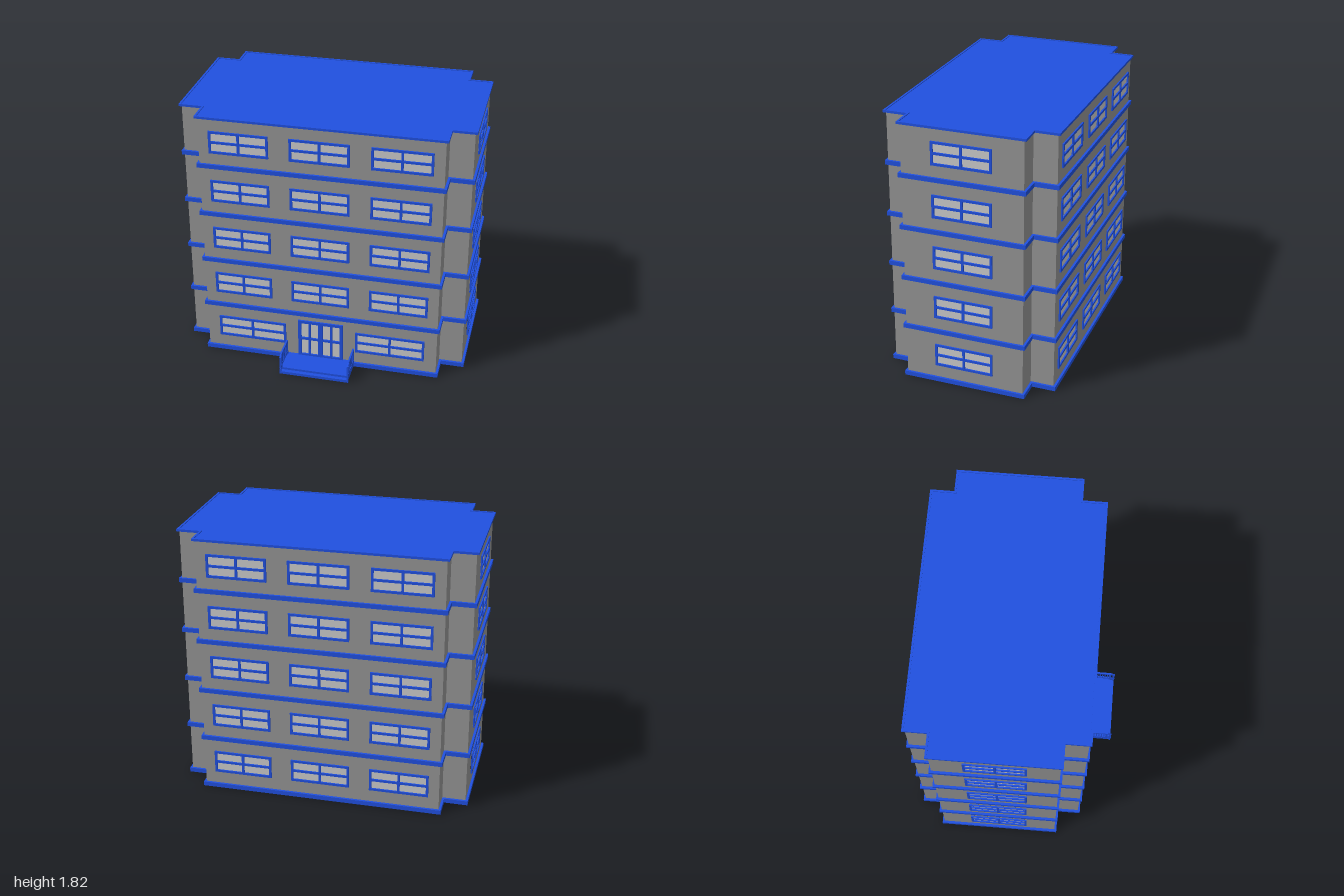
import * as THREE from 'three';

const wallMat = new THREE.MeshStandardMaterial({ color: 0x949494, side: THREE.DoubleSide });
const glassMat = new THREE.MeshStandardMaterial({ color: 0xcccccc, side: THREE.DoubleSide });
const trimMat = new THREE.MeshStandardMaterial({ color: 0x2050e0 });

const WALL_TOP = 1.812;

function add(parent, name, geometry, material, x = 0, y = 0, z = 0) {
  const mesh = new THREE.Mesh(geometry, material);
  mesh.name = name;
  mesh.position.set(x, y, z);
  parent.add(mesh);
  return mesh;
}

function rect(x0, y0, x1, y1, Type = THREE.Shape) {
  return new Type([[x0, y0], [x1, y0], [x1, y1], [x0, y1]].map(p => new THREE.Vector2(...p)));
}

// Cross-shaped floor plan, grown outward by d (shape y is -z)
function plan(d, Type = THREE.Shape) {
  const X = 0.98 + d, x = 0.82 + d;
  const F = -0.475 - d, f = -0.31 - d, B = 0.67 + d, b = 0.51 + d;
  const pts = [[-x, F], [x, F], [x, f], [X, f], [X, b], [x, b], [x, B], [-x, B], [-x, b], [-X, b], [-X, f], [-x, f]];
  return new Type(pts.map(p => new THREE.Vector2(...p)));
}

// Slab extruded upward from y0 to y1, optionally hollow
function slab(outer, inner, y0, y1) {
  const shape = plan(outer);
  if (inner !== null) shape.holes.push(plan(inner, THREE.Path));
  const g = new THREE.ExtrudeGeometry(shape, { depth: y1 - y0, bevelEnabled: false });
  return g.rotateX(-Math.PI / 2).translate(0, y0, 0);
}

// Frame cut by a grid of openings; xs and ys list [from, to] spans
function gridFrame(o, xs, ys, z0, z1) {
  const shape = rect(o.x0, o.y0, o.x1, o.y1);
  for (const [a, b] of xs) for (const [c, d] of ys) shape.holes.push(rect(a, c, b, d, THREE.Path));
  return new THREE.ExtrudeGeometry(shape, { depth: z1 - z0, bevelEnabled: false }).translate(0, 0, z0);
}

function addOpening(wall, o) {
  const group = new THREE.Group();
  group.name = o.door ? 'entranceDoor' : 'window';
  wall.add(group);
  const t = 0.016, m = 0.008, cx = (o.x0 + o.x1) / 2, cy = (o.y0 + o.y1) / 2;
  const glass = new THREE.PlaneGeometry(o.x1 - o.x0 - t, o.y1 - o.y0 - t);
  add(group, 'glass', glass, glassMat, cx, cy, 0.001);
  const xs = o.door
    ? [[-0.137, -0.085], [-0.07, -0.017], [0.017, 0.07], [0.085, 0.137]]
    : [[o.x0 + t, cx - m], [cx + m, o.x1 - t]];
  const ys = o.door ? [[0.05, 0.17], [0.187, 0.305]] : [[o.y0 + t, cy - m], [cy + m, o.y1 - t]];
  add(group, 'frame', gridFrame(o, xs, ys, o.door ? -0.012 : 0.002, 0.012), trimMat);
}

// Flat wall panel facing its local +z, with openings cut out
function addWall(parent, name, x, z, angle, width, openings = []) {
  const wall = new THREE.Group();
  wall.name = name;
  wall.position.set(x, 0, z);
  wall.rotation.y = angle;
  parent.add(wall);
  const shape = rect(-width / 2, 0, width / 2, WALL_TOP);
  const e = 0.008;
  for (const o of openings) {
    shape.holes.push(rect(o.x0 + e, o.y0 + e, o.x1 - e, o.y1 - e, THREE.Path));
    addOpening(wall, o);
  }
  add(wall, 'wallPanel', new THREE.ShapeGeometry(shape), wallMat);
}

const row = (centres, width, y0) =>
  centres.map(c => ({ x0: c - width / 2, x1: c + width / 2, y0, y1: y0 + 0.16 }));

function addPorch(parent) {
  const porch = new THREE.Group();
  porch.name = 'porch';
  parent.add(porch);
  const box = (name, w, h, d, x, y, z) => add(porch, name, new THREE.BoxGeometry(w, h, d), trimMat, x, y, z);
  box('landing', 0.48, 0.036, 0.185, 0, 0.018, 0.5675);
  box('lowerStep', 0.48, 0.02, 0.03, 0, 0.01, 0.672);
  for (const s of [-1, 1]) {
    const x = s * 0.239, w = 0.012;
    box('handrail', w, 0.014, 0.165, x, 0.147, 0.5775);
    box('bottomRail', w, 0.014, 0.165, x, 0.062, 0.5775);
    box('railPost', w, 0.118, 0.014, x, 0.095, 0.502);
    box('railPost', w, 0.118, 0.014, x, 0.095, 0.653);
    box('frontPost', w, 0.132, 0.012, x, 0.066, 0.681);
    for (let i = 1; i < 8; i++) box('baluster', 0.008, 0.08, 0.008, x, 0.104, 0.502 + i * 0.0189);
    // sloping rails down to the step
    for (const y of [0.138, 0.052]) box('slopingRail', w, 0.012, 0.04, x, y, 0.67).rotation.x = 0.55;
  }
}

export function createModel() {
  const building = new THREE.Group();
  building.name = 'apartmentBuilding';

  // Window layouts
  const upper = [0.48, 0.84, 1.2, 1.56];
  const all = [0.12, ...upper];
  const three = y => row([-0.545, 0, 0.545], 0.405, y);
  const front = [
    ...row([-0.492, 0.492], 0.485, 0.12),
    { x0: -0.16, x1: 0.16, y0: 0.034, y1: 0.326, door: true },
    ...upper.flatMap(three),
  ];
  const side = all.flatMap(y => row([0], 0.405, y));

  // Main walls
  addWall(building, 'frontWall', 0, 0.475, 0, 1.64, front);
  addWall(building, 'backWall', 0, -0.67, Math.PI, 1.64, all.flatMap(three));
  addWall(building, 'leftWall', 0.98, -0.1, Math.PI / 2, 0.82, side);
  addWall(building, 'rightWall', -0.98, -0.1, -Math.PI / 2, 0.82, side);

  // Stepped corners
  for (const s of [-1, 1]) {
    addWall(building, 'frontCornerWall', s * 0.9, 0.31, 0, 0.16);
    addWall(building, 'backCornerWall', s * 0.9, -0.51, Math.PI, 0.16);
    addWall(building, 'frontCornerReturn', s * 0.82, 0.3925, s * Math.PI / 2, 0.165);
    addWall(building, 'backCornerReturn', s * 0.82, -0.59, s * Math.PI / 2, 0.16);
  }

  // Base, floor bands and roof
  add(building, 'baseBand', slab(0.016, -0.004, 0, 0.03), trimMat);
  for (const y of [0.366, 0.726, 1.088, 1.448]) {
    add(building, 'floorBand', slab(0.016, -0.004, y, y + 0.03), trimMat);
  }
  add(building, 'roofRim', slab(0.016, 0.002, 1.804, 1.82), trimMat);
  add(building, 'roof', slab(0.003, null, 1.806, 1.815), trimMat);

  addPorch(building);
  return building;
}
